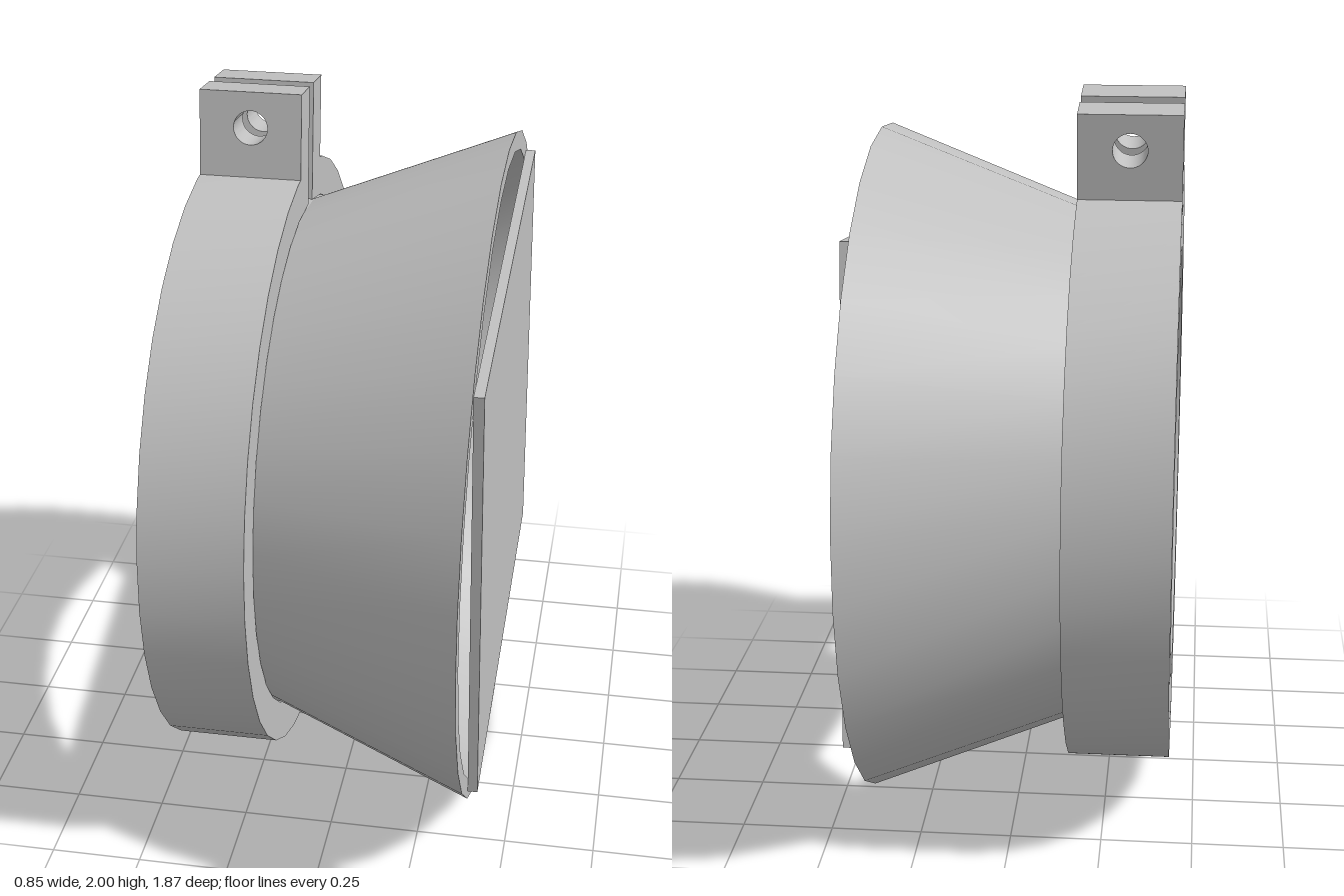
import * as THREE from 'three';
import { toCreasedNormals } from 'three/addons/utils/BufferGeometryUtils.js';

const CENTRE_Y = 0.94, BACK = -0.43, STEP = -0.155, FRONT = 0.395;
const TILT = THREE.MathUtils.degToRad(7.4);

export function createModel() {
  const model = new THREE.Group();
  model.name = 'ductReducer';
  const grey = new THREE.MeshStandardMaterial({ color: 0xc0c0c0 });
  grey.name = 'light grey';

  const add = (parent, name, geometry) => {
    const mesh = new THREE.Mesh(toCreasedNormals(geometry, 0.33), grey);
    mesh.name = name;
    parent.add(mesh);
    return mesh;
  };
  const extrude = (shape, depth) =>
    new THREE.ExtrudeGeometry(shape, { depth, bevelEnabled: false, curveSegments: 18 });

  const body = new THREE.Group();
  body.name = 'body';
  body.position.y = CENTRE_Y;
  model.add(body);

  // Collar and flared funnel: one closed wall turned around the x axis
  const profile = [
    [0.615, BACK], [0.725, BACK], [0.725, STEP], [0.94, FRONT],
    [0.887, FRONT], [0.615, STEP], [0.615, BACK],
  ].map(([r, y]) => new THREE.Vector2(r, y));
  add(body, 'funnel', new THREE.LatheGeometry(profile, 30, Math.PI / 2).rotateZ(-Math.PI / 2));

  // Square plate across the wide mouth
  const plate = add(body, 'mouthPlate', new THREE.BoxGeometry(0.027, 1.33, 1.27));
  plate.position.x = FRONT + 0.0135;
  plate.rotation.x = THREE.MathUtils.degToRad(7.3);

  // Split clamp around the collar, leaning back
  const clamp = new THREE.Group();
  clamp.name = 'clamp';
  clamp.rotation.x = -TILT;
  body.add(clamp);

  const width = STEP - BACK, gap = 0.028, outer = 0.835, inner = 0.728;
  const top = Math.PI / 2;
  const a = Math.asin(gap / outer), b = Math.asin(gap / inner);
  const ring = new THREE.Shape();
  ring.absarc(0, 0, outer, top + a, top - a + Math.PI * 2, false);
  ring.absarc(0, 0, inner, top - b + Math.PI * 2, top + b, true);
  ring.closePath();
  add(clamp, 'clampRing', extrude(ring, width).rotateY(Math.PI / 2).translate(BACK, 0, 0));

  // Pair of drilled bolt tabs on either side of the split
  const tab = new THREE.Shape();
  tab.moveTo(BACK, 0.8).lineTo(STEP, 0.8).lineTo(STEP, 1.051).lineTo(BACK, 1.051).closePath();
  const hole = new THREE.Path();
  hole.absarc((BACK + STEP) / 2, 0.955, 0.046, 0, Math.PI * 2, true);
  tab.holes.push(hole);
  const thickness = 0.112;
  for (const [name, z] of [['frontTab', gap], ['backTab', -gap - thickness]]) {
    add(clamp, name, extrude(tab, thickness)).position.z = z;
  }

  return model;
}
